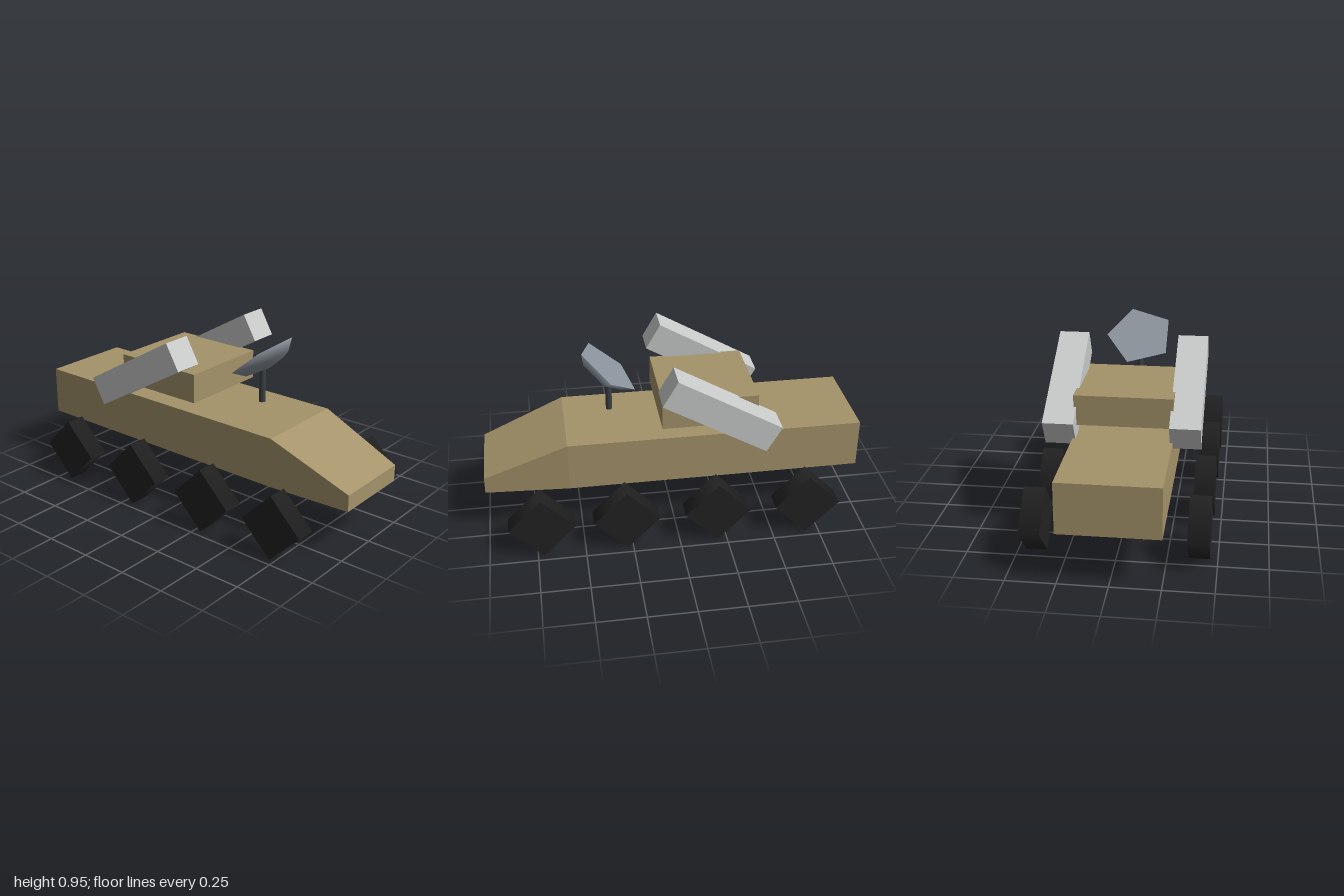
import * as THREE from 'three';

const mat = (name, color, extra = {}) => {
  const m = new THREE.MeshStandardMaterial({ color, ...extra });
  m.name = name;
  return m;
};

export function createModel() {
  const tan = mat('sand tan', 0xa5936a);
  const tyre = mat('tyre black', 0x222222);
  const grey = mat('light grey', 0xc8cac9);
  const steel = mat('steel blue grey', 0x8a929b);
  const dark = mat('mast dark grey', 0x3a4143);
  const model = new THREE.Group();
  model.name = 'armouredVehicle';

  const add = (parent, name, geometry, material, x = 0, y = 0, z = 0) => {
    const mesh = new THREE.Mesh(geometry, material);
    mesh.name = name;
    mesh.position.set(x, y, z);
    parent.add(mesh);
    return mesh;
  };

  // Hull: a box with one extra section, reshaped so the nose narrows and slopes
  const sections = [
    { z: -1, w: 0.252, low: 0.265, high: 0.527 },
    { z: 0.56, w: 0.252, low: 0.263, high: 0.527 },
    { z: 1, w: 0.217, low: 0.257, high: 0.345 },
  ];
  const box = new THREE.BoxGeometry(2, 2, 2, 1, 1, 2);
  const p = box.attributes.position;
  for (let i = 0; i < p.count; i++) {
    const s = sections[Math.round(p.getZ(i)) + 1];
    p.setXYZ(i, Math.sign(p.getX(i)) * s.w, p.getY(i) > 0 ? s.high : s.low, s.z);
  }
  const hull = box.toNonIndexed();
  hull.computeVertexNormals();
  add(model, 'hull', hull, tan);

  // Turret block hovering over the deck
  add(model, 'turret', new THREE.BoxGeometry(0.5, 0.157, 0.503), tan, 0, 0.664, -0.188);

  // Four-sided wheels standing on a corner, and tilted launchers, on both sides
  const wheel = new THREE.CylinderGeometry(0.173, 0.173, 0.107, 4).rotateZ(Math.PI / 2);
  const launcher = new THREE.BoxGeometry(0.156, 0.156, 0.625);
  for (const side of [1, -1]) {
    const name = side > 0 ? 'left' : 'right';
    [0.72, 0.28, -0.2, -0.68].forEach((z, i) =>
      add(model, `${name}Wheel${i + 1}`, wheel, tyre, side * 0.409, 0.174, z));
    add(model, `${name}Launcher`, launcher, grey, side * 0.315, 0.714, -0.226)
      .rotation.x = -Math.PI / 6;
  }

  // Antenna mast
  add(model, 'mast', new THREE.CylinderGeometry(0.017, 0.017, 0.185, 12), dark, 0, 0.678, 0.317);

  // Five-sided dish: shallow bowl with a flat face, tipped back
  const dish = new THREE.Group();
  dish.name = 'dish';
  dish.position.set(0, 0.835, 0.317);
  dish.rotation.x = THREE.MathUtils.degToRad(-40);
  const bowl = new THREE.SphereGeometry(0.187, 5, 2, Math.PI, Math.PI * 2, Math.PI / 2, Math.PI / 2);
  add(dish, 'dishBowl', bowl.scale(1, 0.375, 1), steel);
  add(dish, 'dishFace', new THREE.CircleGeometry(0.187, 5).rotateX(-Math.PI / 2), steel);
  model.add(dish);

  return model;
}
